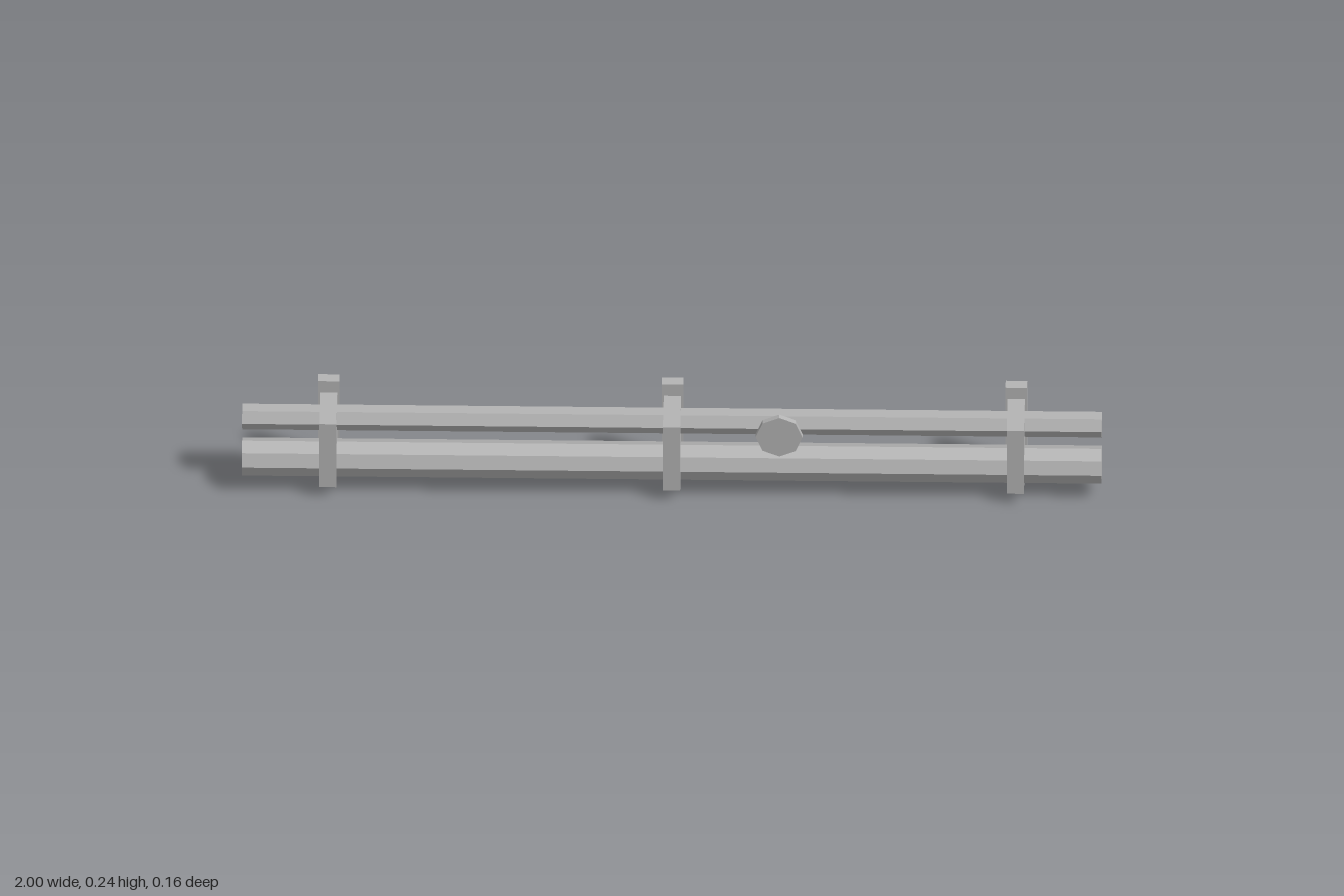
import * as THREE from 'three';

export function createModel() {
  const model = new THREE.Group();
  const metal = new THREE.MeshStandardMaterial({ color: 0xb4b4b4, flatShading: true });
  metal.name = 'grey metal';

  const add = (name, geometry, x, y, z) => {
    const mesh = new THREE.Mesh(geometry, metal);
    mesh.name = name;
    mesh.position.set(x, y, z);
    model.add(mesh);
  };

  // Two faceted pipes running along x
  const pipe = (radius, sides) =>
    new THREE.CylinderGeometry(radius, radius, 2, sides).rotateZ(Math.PI / 2);
  add('lowerPipe', pipe(0.045, 8), 0, 0.08, 0.03);
  add('upperPipe', pipe(0.03, 6), 0, 0.18, 0.01);

  // Clamp blocks with upright wall plates behind them
  for (const x of [-0.8, 0, 0.8]) {
    add('clampBlock', new THREE.BoxGeometry(0.04, 0.18, 0.127), x, 0.12, 0.0165);
    add('wallPlate', new THREE.BoxGeometry(0.05, 0.24, 0.028), x, 0.12, -0.064);
  }

  // Valve wheel in front of the upper pipe
  add('valveWheel', new THREE.CylinderGeometry(0.055, 0.055, 0.014, 8).rotateX(Math.PI / 2), 0.25, 0.18, 0.066);

  return model;
}
